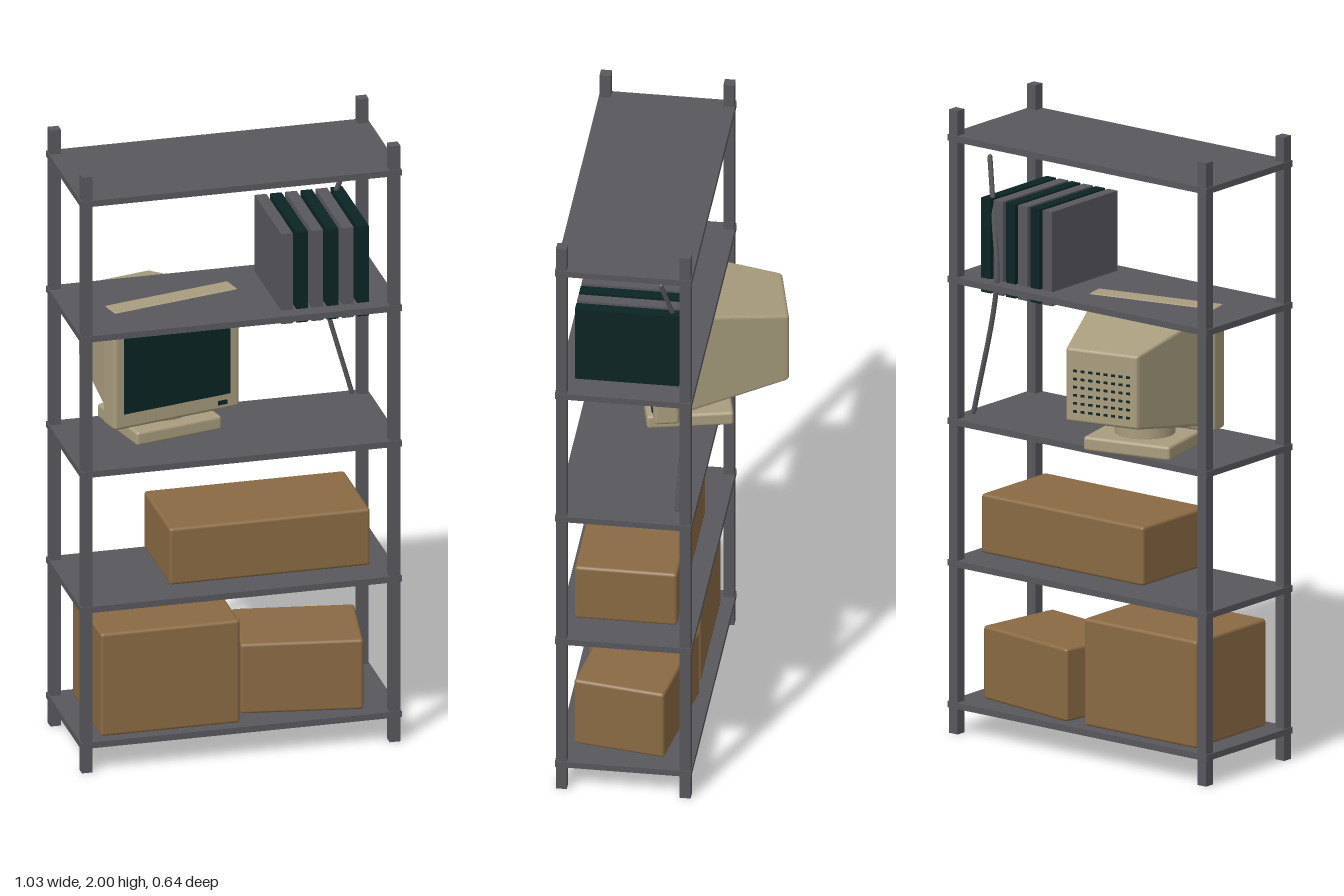
import * as THREE from 'three';
import { RoundedBoxGeometry } from 'three/addons/geometries/RoundedBoxGeometry.js';

function material(name, color) {
  const m = new THREE.MeshStandardMaterial({ color });
  m.name = name;
  return m;
}

export function createModel() {
  const steel = material('greySteel', 0x58575c);
  const cardboard = material('brownCardboard', 0x8a6a43);
  const plastic = material('beigePlastic', 0xa99d7e);
  const dark = material('darkTeal', 0x0b2424);

  const model = new THREE.Group();
  model.name = 'storageRack';

  function add(parent, name, geometry, mat, x, y, z) {
    const mesh = new THREE.Mesh(geometry, mat);
    mesh.name = name;
    mesh.position.set(x, y, z);
    parent.add(mesh);
    return mesh;
  }
  const box = (w, h, d) => new THREE.BoxGeometry(w, h, d);
  const rounded = (w, h, d, r = 0.01) => new RoundedBoxGeometry(w, h, d, 2, r);

  // Rack: four posts and five shelves
  const rack = new THREE.Group();
  rack.name = 'rack';
  model.add(rack);
  for (const x of [-0.492, 0.492])
    for (const z of [-0.087, 0.3]) add(rack, 'post', box(0.034, 2, 0.034), steel, x, 1, z);
  for (let i = 0; i < 5; i++)
    add(rack, 'shelf', box(1.026, 0.02, 0.426), steel, 0, 0.092 + i * 0.4545, 0.1065);

  // Cardboard boxes, the small one turned slightly
  add(model, 'largeBox', rounded(0.445, 0.345, 0.35), cardboard, -0.217, 0.273, 0.108);
  add(model, 'longBox', rounded(0.642, 0.19, 0.32), cardboard, 0.105, 0.675, 0.11);
  const small = add(model, 'smallBox', rounded(0.383, 0.235, 0.292), cardboard, 0.236, 0.218, 0.102);
  small.rotation.y = -0.156;

  // Row of binders in alternating colours
  for (let i = 0; i < 6; i++)
    add(model, 'binder', box(0.037, 0.302, 0.325), i % 2 ? dark : steel, 0.159 + i * 0.0486, 1.571, 0.1075);

  // Bent rod hanging behind the binders
  const points = [
    [0.43, 1.84, 0], [0.367, 1.62, -0.055], [0.342, 1.49, -0.075],
    [0.36, 1.37, -0.07], [0.45, 1.03, -0.055],
  ].map((p) => new THREE.Vector3(...p));
  const rodCurve = new THREE.CatmullRomCurve3(points);
  add(model, 'bentRod', new THREE.TubeGeometry(rodCurve, 24, 0.008, 6, false), steel, 0, 0, 0);
  for (const p of [points[0], points[4]])
    add(model, 'rodEnd', new THREE.SphereGeometry(0.008, 6, 4), steel, p.x, p.y, p.z);

  // Monitor, turned towards the left
  const monitor = new THREE.Group();
  monitor.name = 'monitor';
  monitor.position.set(-0.18, 0, 0.005);
  monitor.rotation.y = 0.225;
  model.add(monitor);
  add(monitor, 'monitorBase', rounded(0.297, 0.047, 0.27), plastic, 0, 1.037, 0);
  add(monitor, 'monitorNeck', new THREE.CylinderGeometry(0.095, 0.095, 0.06, 24), plastic, 0, 1.08, 0);
  add(monitor, 'bezel', rounded(0.438, 0.396, 0.08, 0.012), plastic, 0, 1.27, 0.079);
  add(monitor, 'screen', box(0.37, 0.295, 0.006), dark, 0, 1.272, 0.119);
  add(monitor, 'powerButton', box(0.032, 0.014, 0.006), dark, 0.158, 1.098, 0.119);

  // Housing tapers towards the back
  const depth = 0.362;
  const housing = rounded(0.4, 0.37, depth, 0.012);
  const pos = housing.attributes.position;
  for (let i = 0; i < pos.count; i++) {
    const t = 0.5 - pos.getZ(i) / depth;
    pos.setX(i, pos.getX(i) * (1 - 0.385 * t));
    pos.setY(i, pos.getY(i) * (1 - 0.365 * t));
  }
  housing.computeVertexNormals();
  add(monitor, 'housing', housing, plastic, 0, 1.273, 0.053 - depth / 2);

  // Rows of vent slots on the back
  for (let row = 0; row < 6; row++)
    for (let col = 0; col < 8; col++)
      add(monitor, 'ventSlot', box(0.013, 0.008, 0.004), dark,
        (col - 3.5) * 0.026, 1.19 + row * 0.026, -0.309);

  return model;
}
